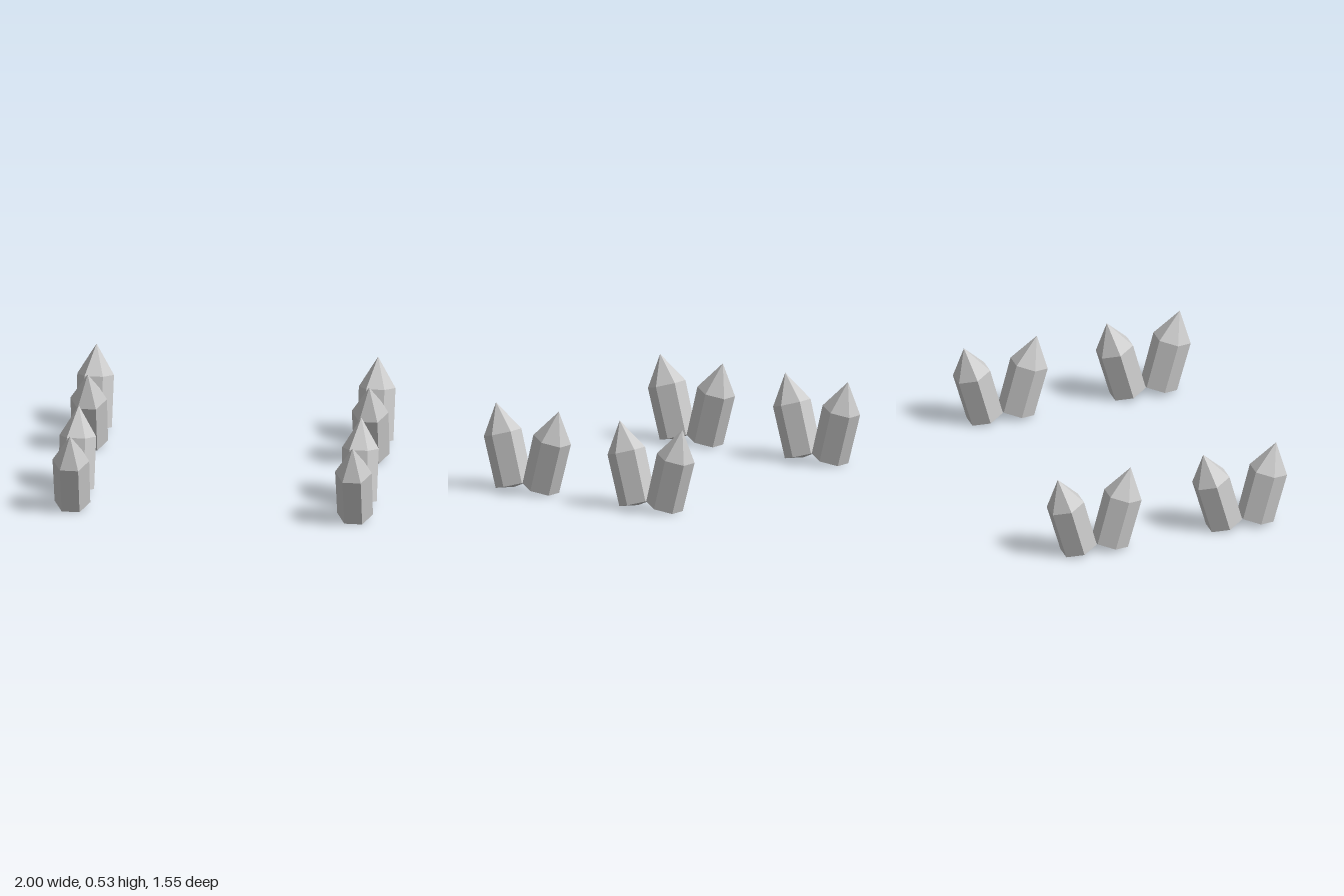
import * as THREE from 'three';

const LEAN = THREE.MathUtils.degToRad(15.3);

// Six-sided crystal, slightly flared, with a pointed top and a shallow point below
function crystalGeometry() {
  const profile = [[0, -0.018], [0.112, 0], [0.115, 0.33], [0, 0.522]]
    .map(([r, y]) => new THREE.Vector2(r, y));
  const geometry = new THREE.LatheGeometry(profile, 6, Math.PI / 2);
  geometry.scale(1, 1, 1.07);
  return geometry;
}

export function createModel() {
  const model = new THREE.Group();
  model.name = 'crystalClusters';
  const geometry = crystalGeometry();
  const material = new THREE.MeshStandardMaterial({ color: 0xcccccc, flatShading: true });

  // Four pairs, each leaning apart like a V along z
  const pairs = [
    ['frontLeftPair', 0.885, 0.465],
    ['frontRightPair', -0.885, 0.48],
    ['backLeftPair', 0.88, -0.48],
    ['backRightPair', -0.885, -0.48],
  ];
  for (const [name, x, z] of pairs) {
    const pair = new THREE.Group();
    pair.name = name;
    pair.position.set(x, 0, z);
    for (const side of [1, -1]) {
      const crystal = new THREE.Mesh(geometry, material);
      crystal.name = side > 0 ? 'forwardCrystal' : 'backwardCrystal';
      crystal.position.set(0, 0.028, side * 0.103);
      crystal.rotation.x = side * LEAN;
      pair.add(crystal);
    }
    model.add(pair);
  }
  return model;
}
